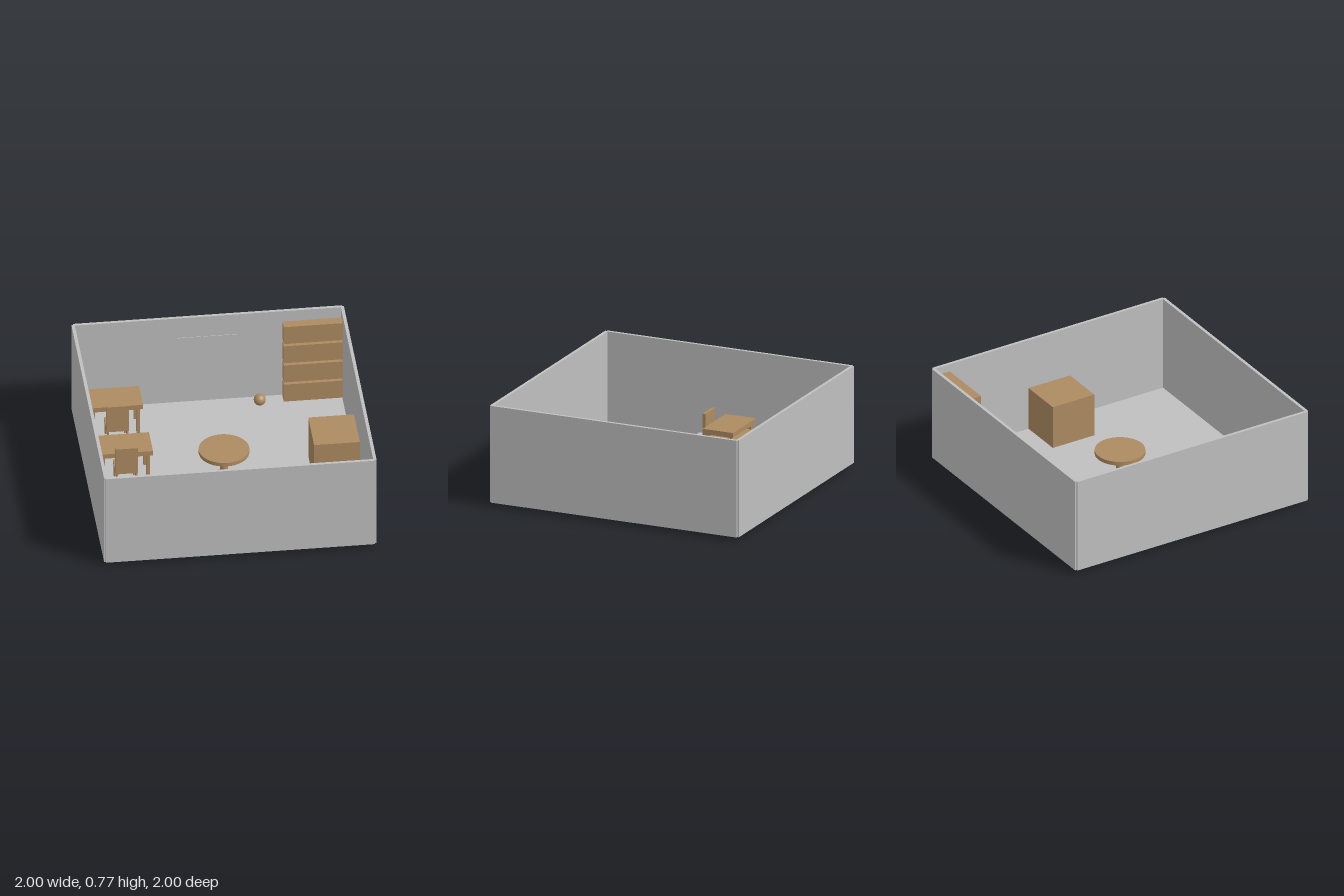
import * as THREE from 'three';

const FLOOR = 0.03;

export function createModel() {
  const model = new THREE.Group();
  model.name = 'furnishedRoom';
  const plaster = new THREE.MeshStandardMaterial({ name: 'plasterGrey', color: 0xbfbfbf, side: THREE.DoubleSide });
  const wood = new THREE.MeshStandardMaterial({ name: 'wood', color: 0xad8b61 });

  function add(parent, name, geometry, material, x, y, z) {
    const mesh = new THREE.Mesh(geometry, material);
    mesh.name = name;
    mesh.position.set(x, y, z);
    parent.add(mesh);
    return mesh;
  }
  // Box given by its centre in x and z and by its lower and upper heights
  const block = (parent, name, material, x, z, w, d, y0, y1) =>
    add(parent, name, new THREE.BoxGeometry(w, y1 - y0, d), material, x, (y0 + y1) / 2, z);
  const post = (parent, name, material, x, z, r, y0, y1, sides = 32) =>
    add(parent, name, new THREE.CylinderGeometry(r, r, y1 - y0, sides), material, x, (y0 + y1) / 2, z);
  function group(name, x, z) {
    const g = new THREE.Group();
    g.name = name;
    g.position.set(x, 0, z);
    model.add(g);
    return g;
  }

  // Floor and four walls that leave small notches at the corners
  add(model, 'floor', new THREE.PlaneGeometry(1.976, 1.976), plaster, 0, FLOOR, 0).rotation.x = -Math.PI / 2;
  for (const s of [-1, 1]) {
    block(model, s > 0 ? 'frontWall' : 'backWall', plaster, 0, s * 0.988, 1.976, 0.024, FLOOR, 0.77);
    block(model, s > 0 ? 'leftWall' : 'rightWall', plaster, s * 0.988, 0, 0.024, 1.976, FLOOR, 0.77);
  }

  // Board on the back wall
  block(model, 'wallBoard', plaster, 0, -0.9755, 0.444, 0.008, 0.3, 0.597);

  // Desks, each with a chair tucked in on its front side
  for (const [deskZ, chairZ] of [[-0.72, -0.568], [-0.125, -0.026]]) {
    const desk = group('desk', -0.718, deskZ);
    block(desk, 'deskTop', wood, 0, 0, 0.395, 0.244, 0.252, 0.29);
    const chair = group('chair', -0.72, chairZ);
    block(chair, 'seat', wood, 0, 0, 0.166, 0.16, 0.145, 0.17);
    block(chair, 'backrest', wood, 0, 0.068, 0.166, 0.024, 0.17, 0.365);
    for (const sx of [-1, 1]) for (const sz of [-1, 1]) {
      block(desk, 'deskLeg', wood, sx * 0.165, sz * 0.09, 0.026, 0.026, FLOOR + 0.001, 0.252);
      post(chair, 'chairLeg', wood, sx * 0.07, sz * 0.07, 0.008, 0, 0.145, 16);
    }
  }

  // Round table on a pedestal
  const table = group('roundTable', 0, 0);
  post(table, 'tableTop', wood, 0, 0, 0.185, 0.24, 0.27, 48);
  post(table, 'pedestal', wood, 0, 0, 0.03, 0.036, 0.24);
  post(table, 'pedestalBase', wood, 0, 0, 0.085, 0.023, 0.036);

  // Cabinet against the left wall, with a small knob
  block(model, 'cabinet', wood, 0.81, 0, 0.34, 0.356, FLOOR, 0.37);
  add(model, 'cabinetKnob', new THREE.SphereGeometry(0.006, 12, 8), wood, 0.81, 0.2, 0.178);

  // Tall unit of stacked compartments in the back left corner
  const unit = group('storageUnit', 0.762, -0.892);
  for (let i = 0; i < 4; i++) {
    const y = FLOOR + 0.022 + i * 0.17;
    block(unit, 'compartment', wood, 0, 0, 0.44, 0.074, y, y + 0.15);
  }

  // Ball and waste bin
  add(model, 'ball', new THREE.SphereGeometry(0.044, 32, 20), wood, 0.368, FLOOR + 0.045, -0.87);
  post(model, 'wasteBin', plaster, -0.866, 0.17, 0.028, FLOOR + 0.001, 0.13);

  return model;
}
